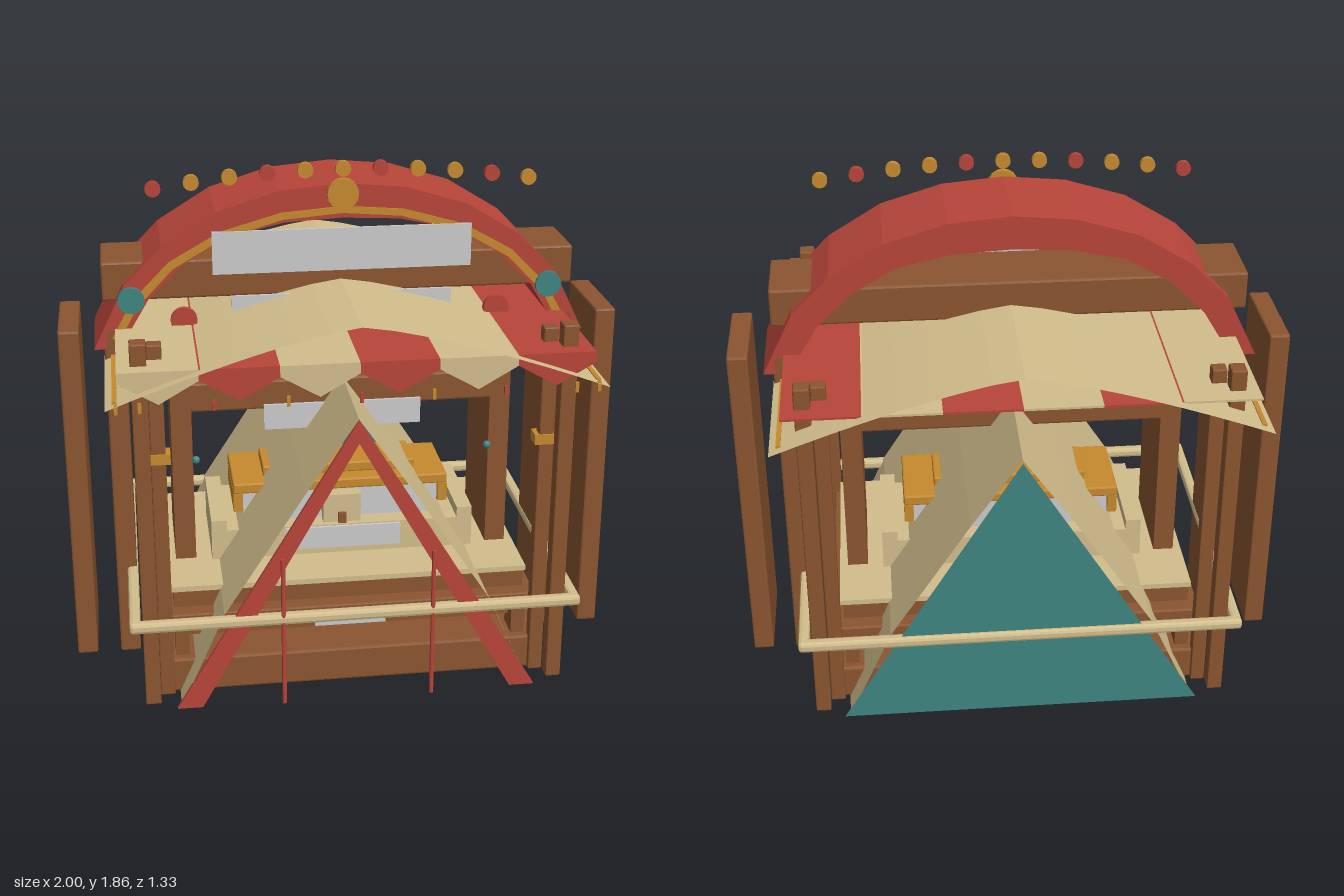
import * as THREE from 'three';
import { RoundedBoxGeometry } from 'three/addons/geometries/RoundedBoxGeometry.js';

const mat = (color) => new THREE.MeshStandardMaterial({ color, flatShading: true, side: THREE.DoubleSide });

export function createModel() {
  const root = new THREE.Group();
  const M = {
    wood: mat(0x8b5530), red: mat(0xb8453a), cream: mat(0xd2be8c), gold: mat(0xc68a2e),
    teal: mat(0x3f8580), grey: mat(0xcccccc),
  };

  const add = (name, geo, m, x = 0, y = 0, z = 0) => {
    const mesh = new THREE.Mesh(geo, M[m]);
    mesh.name = name;
    mesh.position.set(x, y, z);
    root.add(mesh);
    return mesh;
  };
  // Box given by its limits on each axis
  const box = (name, m, x0, x1, y0, y1, z0, z1, round = 0) => {
    const s = [x1 - x0, y1 - y0, z1 - z0];
    const geo = round ? new RoundedBoxGeometry(...s, 1, round) : new THREE.BoxGeometry(...s);
    return add(name, geo, m, (x0 + x1) / 2, (y0 + y1) / 2, (z0 + z1) / 2);
  };
  // Same box on both sides of x = 0
  const pair = (name, m, x0, x1, ...rest) => {
    box(name, m, x0, x1, ...rest);
    box(name, m, -x1, -x0, ...rest);
  };
  const disc = (name, m, r, x, y, z, depth = 0.02) =>
    add(name, new THREE.CylinderGeometry(r, r, depth, 16).rotateX(Math.PI / 2), m, x, y, z);
  const flat = (name, m, pts, z, depth = 0) => {
    const shape = new THREE.Shape(pts.map(([x, y]) => new THREE.Vector2(x, y)));
    const geo = depth
      ? new THREE.ExtrudeGeometry(shape, { depth, bevelEnabled: false })
      : new THREE.ShapeGeometry(shape);
    return add(name, geo, m, 0, 0, z);
  };
  // Half profile, from the side to the middle, mirrored to a full span
  const mirror = (half) => [...half, ...half.slice(0, -1).reverse().map(([x, y]) => [-x, y])];
  // Sheet that follows a profile in x and y and runs along z
  const sheet = (name, m, pts, z0, z1) => {
    const pos = [], idx = [];
    pts.forEach(([x, y], i) => {
      pos.push(x, y, z0, x, y, z1);
      if (i) idx.push(2 * i - 2, 2 * i - 1, 2 * i, 2 * i, 2 * i - 1, 2 * i + 1);
    });
    const geo = new THREE.BufferGeometry();
    geo.setAttribute('position', new THREE.Float32BufferAttribute(pos, 3));
    geo.setIndex(idx);
    geo.computeVertexNormals();
    return add(name, geo, m);
  };

  // Base and stepped floor
  box('base', 'wood', -0.7, 0.7, 0, 0.13, -0.487, 0.487, 0.008);
  box('floorFrame', 'wood', -0.675, 0.675, 0.245, 0.295, -0.46, 0.46, 0.006);
  box('floorStep', 'wood', -0.64, 0.64, 0.295, 0.355, -0.4, 0.4);
  box('floorTop', 'cream', -0.65, 0.65, 0.355, 0.375, -0.4, 0.4);
  for (const s of [-1, 1]) {
    for (const z of [0.43, 0.38, 0.265]) {
      pair('floorLeg', 'wood', 0.59, 0.64, 0.13, 0.25, s * z - 0.025, s * z + 0.025);
    }
    box('floorCrossbar', 'wood', -0.62, 0.62, 0.18, 0.245, s * 0.38 - 0.02, s * 0.38 + 0.02);
    box('floorPlate', 'grey', -0.13, 0.13, 0.185, 0.225, s * 0.405 - 0.004, s * 0.405 + 0.004);
  }

  // Stepped display inside the tent
  box('displayLower', 'cream', -0.43, 0.43, 0.375, 0.49, -0.2, 0.2);
  pair('displayArm', 'cream', 0.43, 0.487, 0.375, 0.53, -0.2, 0.2);
  box('displayPanel', 'grey', -0.215, 0.215, 0.4, 0.485, 0.2, 0.21);
  box('displayMiddle', 'grey', -0.365, 0.365, 0.49, 0.61, -0.13, 0.13);
  box('displayTrim', 'gold', -0.4, 0.4, 0.61, 0.65, -0.15, 0.15, 0.006);
  pair('displayTrimSide', 'gold', 0.365, 0.4, 0.54, 0.61, -0.15, 0.15);
  box('displayTop', 'gold', -0.285, 0.285, 0.65, 0.69, -0.09, 0.09, 0.006);
  box('displayBox', 'cream', -0.07, 0.07, 0.49, 0.6, 0.13, 0.18);
  box('displayPin', 'wood', -0.015, 0.015, 0.49, 0.53, 0.18, 0.195);

  // Side slabs, inner portal and upper beam
  pair('outerSlab', 'wood', 0.925, 1, 0, 1.28, -0.178, 0.178, 0.008);
  pair('innerSlab', 'wood', 0.765, 0.84, 0, 1.28, -0.178, 0.178, 0.008);
  pair('portalPost', 'wood', 0.545, 0.62, 0.295, 1.065, -0.178, 0.178);
  box('portalBeam', 'wood', -0.62, 0.62, 0.955, 1.065, -0.178, 0.178, 0.008);
  box('upperBeam', 'wood', -0.84, 0.84, 1.37, 1.51, -0.13, 0.13, 0.008);
  box('portalSign', 'grey', -0.285, 0.285, 0.88, 0.975, 0.18, 0.19);

  // Corner posts in pairs, with collars at the front
  for (const s of [-1, 1]) {
    pair('cornerPost', 'wood', 0.7, 0.755, 0, 1.36, s * 0.535 - 0.03, s * 0.535 + 0.03, 0.005);
    pair('innerPost', 'wood', 0.648, 0.7, 0, 1.335, s * 0.483 - 0.024, s * 0.483 + 0.024, 0.005);
  }
  pair('postCollar', 'gold', 0.632, 0.705, 0.905, 0.942, 0.45, 0.513);

  // Rail ring around the booth
  for (const s of [-1, 1]) {
    box('railLong', 'cream', -0.8, 0.8, 0.315, 0.355, s * 0.6 - 0.02, s * 0.6 + 0.02, 0.012);
    box('railSide', 'cream', s * 0.78 - 0.02, s * 0.78 + 0.02, 0.315, 0.355, -0.6, 0.6, 0.012);
  }

  // Tent: canvas sides, back wall, red front trim and front poles
  const tent = mirror([[0.63, 0], [0.47, 0.36], [0.18, 0.81], [0, 1.07]]);
  sheet('tentCanvas', 'cream', tent, -0.597, 0.597);
  flat('tentBack', 'teal', [[-0.65, 0], [0.65, 0], [0, 1.06]], -0.602);
  for (const s of [-1, 1]) {
    flat('tentTrim', 'red', [[s * 0.645, 0], [s * 0.555, 0], [0, 0.985], [0, 1.07]], 0.59, 0.015);
    add('tentPole', new THREE.CylinderGeometry(0.008, 0.008, 0.57, 8), 'red', s * 0.265, 0.285, 0.612);
    add('bead', new THREE.SphereGeometry(0.015, 8, 6), 'teal', s * 0.535, 0.78, 0.2);
  }

  // Vaulted canopy sheet
  const vault = [];
  for (let i = -8; i <= 8; i++) {
    const t = i / 8;
    vault.push([-0.842 * t, 1.42 - 0.25 * Math.abs(t) ** 1.3]);
  }
  sheet('canopy', 'cream', vault, -0.665, 0.665);

  // Striped ceiling with a pointed valance at the front
  const w = 1.6 / 6;
  for (let i = 0; i < 6; i++) {
    const a = -0.8 + i * w, b = a + w, m = i % 2 ? 'red' : 'cream';
    box('ceilingStripe', m, a, b, 1.276, 1.284, -0.622, 0.622);
    flat('valance', m, [[a, 1.28], [a, 1.247], [(a + b) / 2, 1.17], [b, 1.247], [b, 1.28]], 0.625);
  }
  pair('canopySideBar', 'gold', 0.802, 0.818, 1.175, 1.19, -0.63, 0.63);
  for (let i = -3; i <= 3; i++) {
    box('hangingTag', i % 2 ? 'gold' : 'red', i * 0.243 - 0.006, i * 0.243 + 0.006, 1.155, 1.19, 0.65, 0.66);
  }
  pair('hangingTag', 'gold', 0.8, 0.812, 1.155, 1.19, 0.65, 0.66);

  // Arch over the front, with gold stripe
  const outer = mirror([[0.875, 1.21], [0.765, 1.435], [0.63, 1.573], [0.44, 1.69], [0.22, 1.757], [0, 1.777]]);
  const inner = mirror([[0.785, 1.21], [0.68, 1.385], [0.56, 1.505], [0.4, 1.6], [0.2, 1.645], [0, 1.655]]);
  flat('arch', 'red', [...outer, ...inner.reverse()], -0.178, 0.356);
  const stripe = (d) => mirror([[0.8, 1.24], [0.73, 1.37], [0.6, 1.505], [0.42, 1.608], [0.21, 1.668], [0, 1.685]]
    .map(([x, y]) => [x * (1 + d), y + d]));
  flat('archStripe', 'gold', [...stripe(0.012), ...stripe(-0.012).reverse()], 0.178, 0.006);

  // Signs and round ornaments on the arch
  box('archSign', 'grey', -0.455, 0.455, 1.47, 1.622, 0.18, 0.19);
  box('lowerSign', 'grey', -0.39, 0.39, 1.28, 1.385, 0.165, 0.175);
  disc('archCrest', 'gold', 0.055, 0, 1.743, 0.19);
  for (const s of [-1, 1]) {
    disc('archDisc', 'teal', 0.047, s * 0.74, 1.388, 0.185);
    disc('lowerDisc', 'red', 0.047, s * 0.558, 1.3, 0.16);
  }
  // Row of small round lights above the arch
  for (let i = 0; i < 11; i++) {
    const x = (i - 5) * 0.13;
    disc('light', i % 3 ? 'gold' : 'red', 0.027, x, 1.832 - 0.12 * x * x, 0.19, 0.022);
  }
  return root;
}
